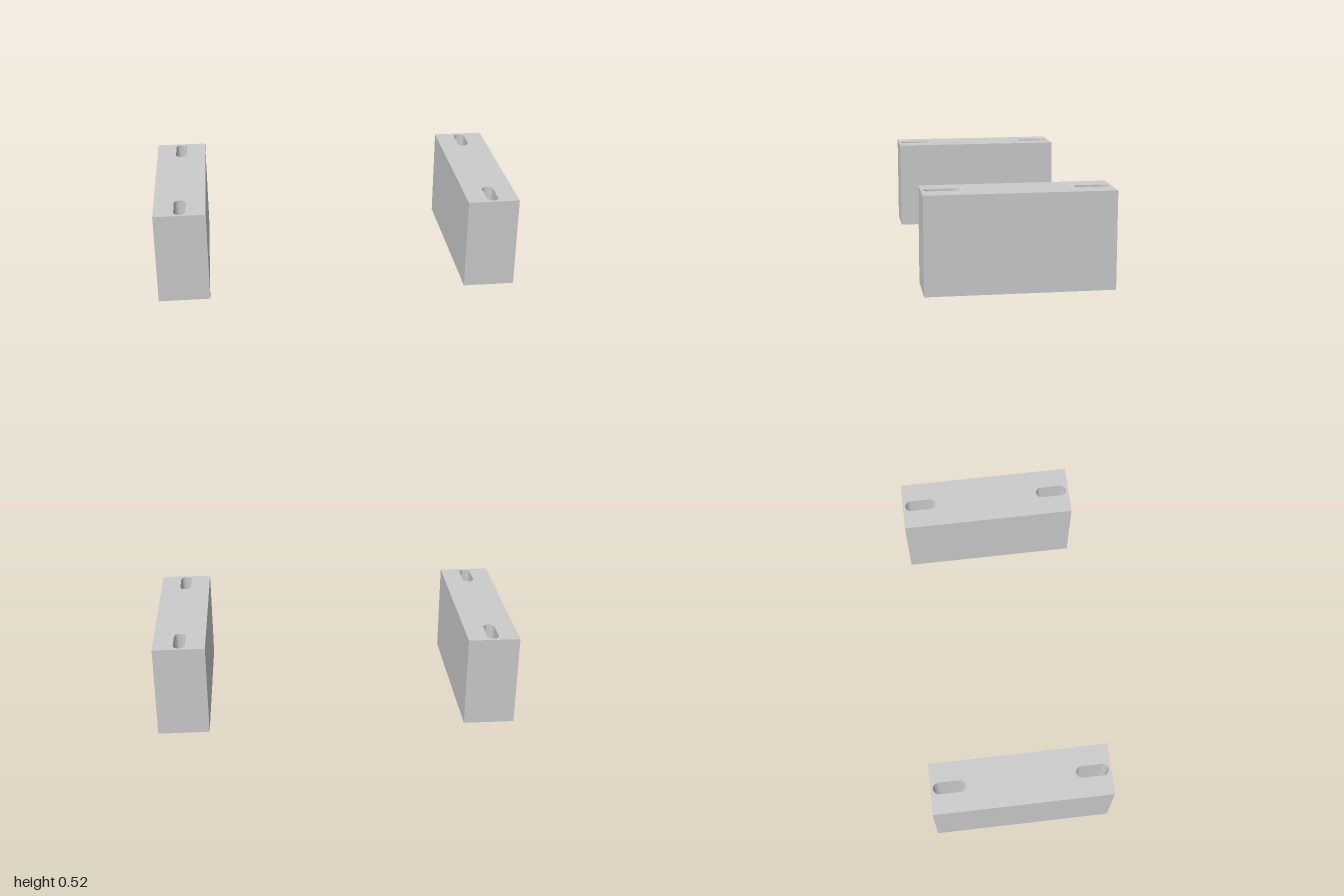
import * as THREE from 'three';
import { toCreasedNormals } from 'three/addons/utils/BufferGeometryUtils.js';

const WIDTH = 0.284, HEIGHT = 0.52, DEPTH = 0.99;
const SLOT_RADIUS = 0.032, SLOT_LENGTH = 0.178, SLOT_Z = 0.391;

// Rounded slot running along the length of the block
function slotHole(centre) {
  const r = SLOT_RADIUS, h = SLOT_LENGTH / 2 - r;
  const hole = new THREE.Path();
  hole.moveTo(r, centre - h);
  hole.lineTo(r, centre + h);
  hole.absarc(0, centre + h, r, 0, Math.PI, false);
  hole.lineTo(-r, centre - h);
  hole.absarc(0, centre - h, r, Math.PI, Math.PI * 2, false);
  return hole;
}

// Block footprint with a slot near each end, extruded upward
function blockGeometry() {
  const w = WIDTH / 2, d = DEPTH / 2;
  const shape = new THREE.Shape([
    new THREE.Vector2(-w, -d), new THREE.Vector2(w, -d),
    new THREE.Vector2(w, d), new THREE.Vector2(-w, d),
  ]);
  for (const end of [-1, 1]) shape.holes.push(slotHole(end * SLOT_Z));
  const geometry = new THREE.ExtrudeGeometry(shape, {
    depth: HEIGHT, bevelEnabled: false, curveSegments: 16,
  });
  geometry.rotateX(-Math.PI / 2);
  return toCreasedNormals(geometry, Math.PI / 6);
}

export function createModel() {
  const group = new THREE.Group();
  group.name = 'slottedBlocks';
  const material = new THREE.MeshStandardMaterial({ color: 0xcccccc });
  const geometry = blockGeometry();

  // Matching pair of blocks, one on each side
  for (const [name, side] of [['leftBlock', 1], ['rightBlock', -1]]) {
    const block = new THREE.Mesh(geometry, material);
    block.name = name;
    block.position.x = side * (1 - WIDTH / 2);
    group.add(block);
  }
  return group;
}
